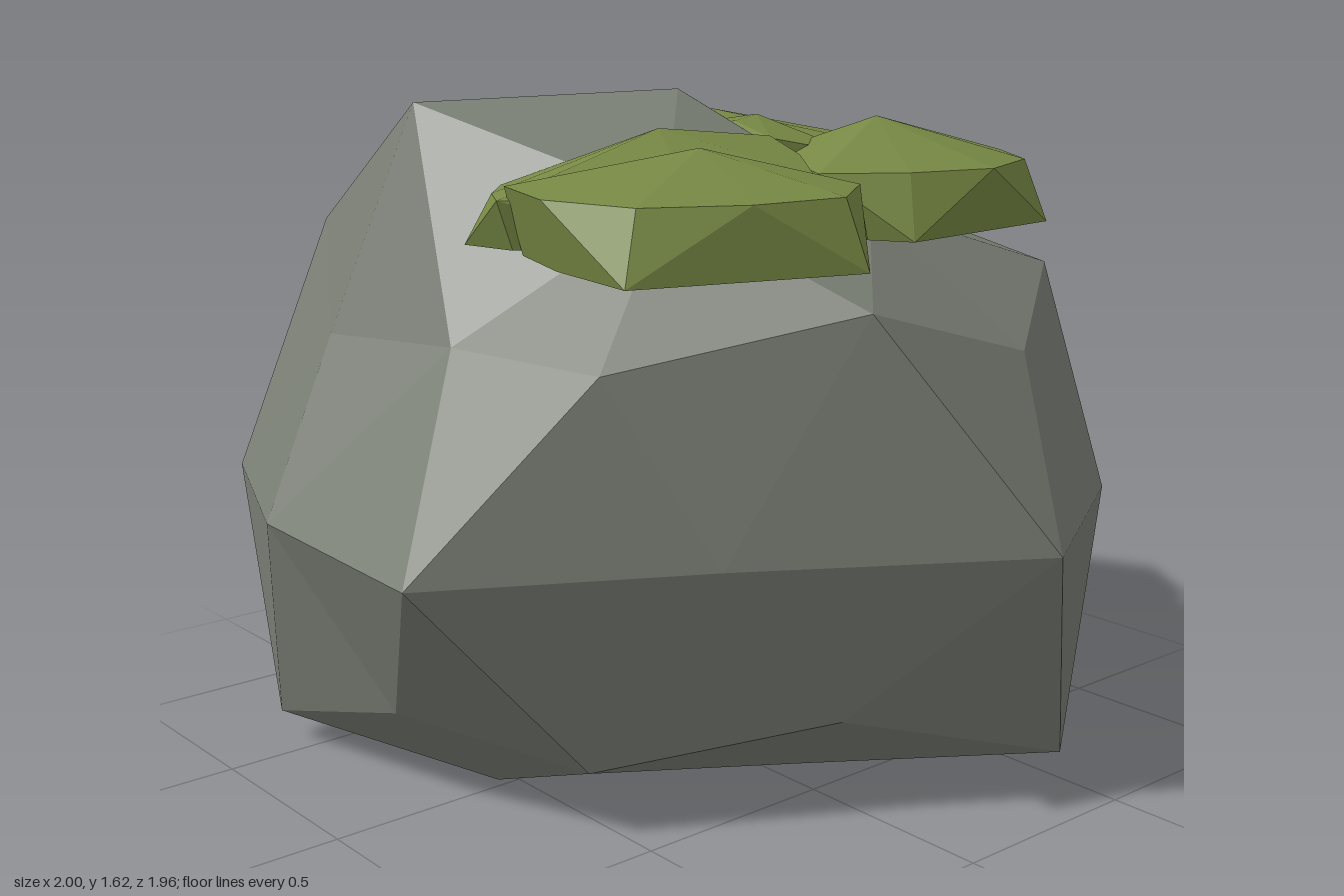
import * as THREE from 'three';
import { ConvexGeometry } from 'three/addons/geometries/ConvexGeometry.js';

const rockMaterial = new THREE.MeshStandardMaterial({ color: 0x7a7f75 });
rockMaterial.name = 'grey stone';
const mossMaterial = new THREE.MeshStandardMaterial({ color: 0x778844 });
mossMaterial.name = 'green moss';

// Boulder: corners are joined up on a unit sphere, then moved to their real
// places, so shallow hollows between them are kept
function boulder(corners) {
  const middle = new THREE.Vector3(0, 0.65, 0);
  const places = corners.map(c => new THREE.Vector3(...c));
  const directions = places.map(p => p.clone().sub(middle).normalize());
  const geometry = new ConvexGeometry(directions);
  const position = geometry.attributes.position;
  const v = new THREE.Vector3();
  for (let i = 0; i < position.count; i++) {
    v.fromBufferAttribute(position, i);
    const nearest = directions.reduce((best, d, j) =>
      d.distanceToSquared(v) < directions[best].distanceToSquared(v) ? j : best, 0);
    position.setXYZ(i, ...places[nearest].toArray());
  }
  geometry.computeVertexNormals();
  const mesh = new THREE.Mesh(geometry, rockMaterial);
  mesh.name = 'boulder';
  return mesh;
}

// Moss cushion: flat underside, upright rim and a low peak.
// Outline points are x, z and, where it differs, the rim height.
function mossPad(name, outline, peak, rimY = 1.45, baseY = 1.3) {
  const points = [new THREE.Vector3(...peak)];
  outline.forEach(([x, z, y = rimY], i) => {
    // rim and base take turns reaching out to the outline
    const at = (k, h) => new THREE.Vector3(
      peak[0] + (x - peak[0]) * k, h, peak[2] + (z - peak[2]) * k);
    points.push(at(i % 2 ? 0.86 : 1, y), at(i % 2 ? 1 : 0.91, baseY));
  });
  const mesh = new THREE.Mesh(new ConvexGeometry(points), mossMaterial);
  mesh.name = name;
  return mesh;
}

export function createModel() {
  const model = new THREE.Group();
  model.name = 'mossyBoulder';

  // Corners of the boulder, in rings from top to bottom
  const crown = [
    [-0.07, 1.615, -0.06], [-0.39, 1.59, 0.49], [0.27, 1.4, 0.26],
    [0.35, 1.35, -0.3], [-0.03, 1.37, -0.52], [-0.52, 1.39, -0.18],
  ];
  const shoulder = [
    [-0.96, 1.25, 0.41], [-0.455, 1.05, 0.7], [0, 1.08, 0.66], [0.42, 1.07, 0.57],
    [0.735, 1.19, 0.08], [0.72, 1.04, -0.44], [0.42, 1.17, -0.87],
    [-0.065, 1.07, -0.95], [-0.56, 1.18, -0.68], [-0.9, 1.1, -0.2],
  ];
  const belt = [
    [1, -0.26], [0.6, 0.38], [0.27, 0.975], [-0.36, 0.945], [-0.89, 0.73],
    [-1, 0.1], [-0.74, -0.46], [-0.37, -0.955], [0.18, -0.95], [0.69, -0.8],
  ].map(([x, z]) => [x, 0.645, z]);
  const foot = [
    [-0.59, 0.075, 0.81], [-0.06, 0.23, 0.8], [0.37, 0.16, 0.57], [0.66, 0.24, 0.07],
    [0.81, 0.05, -0.53], [0.48, 0.155, -0.98], [-0.02, 0.2, -0.84],
    [-0.52, 0.09, -0.63], [-0.85, 0.12, -0.18], [-0.81, 0.24, 0.48],
  ];
  const sole = [
    [-0.03, 0, 0.54], [0.37, 0, -0.08], [0.22, 0, -0.62], [-0.32, 0, -0.48],
    [-0.52, 0, 0.1], [0, 0, 0],
  ];
  model.add(boulder([...crown, ...shoulder, ...belt, ...foot, ...sole]));

  // Moss cushions
  const moss = new THREE.Group();
  moss.name = 'moss';
  moss.add(
    mossPad('backRightMoss', [[-0.08, -0.55], [0.08, -0.72], [0.31, -0.81], [0.55, -0.71],
      [0.6, -0.45], [0.59, -0.2], [0.42, -0.06], [0.12, -0.19], [-0.04, -0.35]],
      [0.24, 1.55, -0.43]),
    mossPad('backLeftMoss', [[-0.72, -0.64], [-0.54, -0.81], [-0.3, -0.85], [-0.04, -0.76],
      [-0.05, -0.6], [-0.1, -0.4], [-0.23, -0.17], [-0.54, -0.12], [-0.69, -0.2]],
      [-0.39, 1.53, -0.45]),
    mossPad('backMiddleMoss', [[-0.32, -0.17, 1.48], [-0.18, -0.18, 1.52], [-0.05, -0.23, 1.53],
      [0.14, -0.18, 1.5], [0.16, -0.45], [-0.03, -0.56], [-0.27, -0.42]],
      [-0.08, 1.54, -0.33]),
    mossPad('frontMoss', [[0.4, 0.7], [0.67, 0.7], [0.74, 0.43], [0.83, 0.19], [0.62, 0.01],
      [0.44, 0], [0.26, 0.15], [0.13, 0.4], [0.16, 0.62]], [0.38, 1.525, 0.26]),
    mossPad('frontInnerMoss', [[0.14, -0.17, 1.51], [0.32, -0.17, 1.48], [0.45, -0.02, 1.45],
      [0.42, 0.3], [0.16, 0.64], [0.02, 0.63], [-0.08, 0.46], [0.05, 0.33, 1.49],
      [0.08, 0.05, 1.53]], [0.17, 1.55, 0.2], 1.42, 1.31),
    mossPad('smallMoss', [[0.38, -0.06], [0.53, -0.11], [0.54, 0.0], [0.42, 0.05]],
      [0.46, 1.43, -0.03], 1.39, 1.31),
  );
  model.add(moss);
  return model;
}
